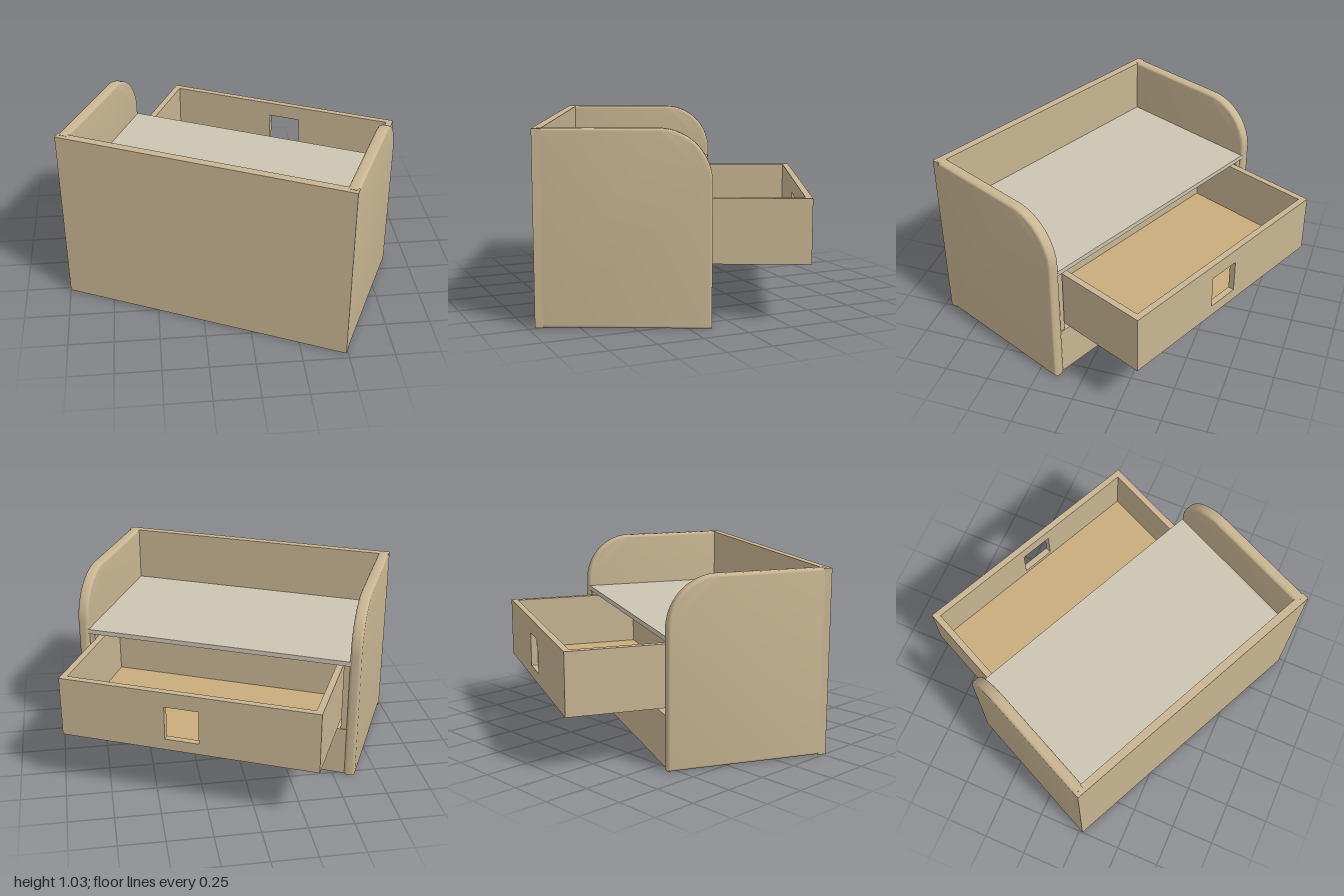
import * as THREE from 'three';
import { toCreasedNormals } from 'three/addons/utils/BufferGeometryUtils.js';

const W = 1.644, D = 0.906, H = 1.03;   // cabinet width, depth, height
const SIDE = 0.062, WALL = 0.045;       // board thicknesses

const wood = new THREE.MeshStandardMaterial({ color: 0xc8b592 });
const shelfWood = new THREE.MeshStandardMaterial({ color: 0xcdc4b2 });
const floorWood = new THREE.MeshStandardMaterial({ color: 0xc9ac7c });

// Box given by its extents: x across, y up, d = distance behind the front face
function board(parent, name, [x0, x1], [y0, y1], [d0, d1], material = wood) {
  const mesh = new THREE.Mesh(new THREE.BoxGeometry(x1 - x0, y1 - y0, d1 - d0), material);
  mesh.position.set((x0 + x1) / 2, (y0 + y1) / 2, -(d0 + d1) / 2);
  mesh.name = name;
  parent.add(mesh);
  return mesh;
}

// Side panel with one large rounded corner and softened edges
function sidePanelGeometry() {
  const b = 0.016, r = 0.26;
  const front = 0.025 + b, back = D - b, bottom = 0.004 + b, top = H - b;
  const s = new THREE.Shape();
  s.moveTo(front, bottom);
  s.lineTo(back, bottom);
  s.lineTo(back, top - r);
  s.absarc(back - r, top - r, r, 0, Math.PI / 2, false);
  s.lineTo(front, top);
  s.closePath();
  const geo = new THREE.ExtrudeGeometry(s, {
    depth: SIDE - 2 * b, bevelEnabled: true, bevelSize: b, bevelThickness: b,
    bevelSegments: 4, curveSegments: 20,
  });
  geo.translate(0, 0, b);
  geo.rotateY(Math.PI / 2);
  return toCreasedNormals(geo, 0.6);
}

function buildCabinet() {
  const g = new THREE.Group();
  g.name = 'cabinet';
  const inner = [SIDE - 0.005, W - SIDE + 0.005];

  board(g, 'frontWall', [0, W], [0.004, H - 0.002], [0, WALL]);
  const panel = sidePanelGeometry();
  ['rightSidePanel', 'leftSidePanel'].forEach((name, i) => {
    const mesh = new THREE.Mesh(panel, wood);
    mesh.position.x = i * (W - SIDE);
    mesh.name = name;
    g.add(mesh);
  });
  board(g, 'topShelf', inner, [0.688, 0.715], [WALL - 0.005, D - 0.004], shelfWood);
  board(g, 'bottomBoard', inner, [0.006, 0.045], [WALL - 0.005, D - 0.012]);
  board(g, 'lowerPanel', inner, [0.006, 0.29], [D - 0.05, D - 0.01]);
  board(g, 'drawerRunner', inner, [0.265, 0.29], [WALL - 0.005, D - 0.045]);
  // Narrow jambs beside the drawer opening
  board(g, 'rightJamb', [SIDE - 0.005, 0.095], [0.285, 0.69], [D - 0.05, D - 0.015]);
  board(g, 'leftJamb', [W - 0.095, W - SIDE + 0.005], [0.285, 0.69], [D - 0.05, D - 0.015]);
  return g;
}

function buildDrawer() {
  const g = new THREE.Group();
  g.name = 'drawer';
  const x0 = 0.105, x1 = 1.539, y0 = 0.32, y1 = 0.664, d0 = 0.6, d1 = 1.419, t = 0.036;

  // Outer face board with a rectangular grip hole
  const s = new THREE.Shape();
  s.moveTo(x0, y0); s.lineTo(x1, y0); s.lineTo(x1, y1); s.lineTo(x0, y1); s.closePath();
  const hole = new THREE.Path();
  hole.moveTo(0.757, 0.385); hole.lineTo(0.757, 0.578);
  hole.lineTo(0.947, 0.578); hole.lineTo(0.947, 0.385); hole.closePath();
  s.holes.push(hole);
  const face = new THREE.Mesh(new THREE.ExtrudeGeometry(s, { depth: t, bevelEnabled: false }), wood);
  face.position.z = -d1;
  face.name = 'drawerFace';
  g.add(face);

  board(g, 'drawerRightSide', [x0, x0 + t], [y0, y1], [d0, d1 - t]);
  board(g, 'drawerLeftSide', [x1 - t, x1], [y0, y1], [d0, d1 - t]);
  board(g, 'drawerInnerEnd', [x0 + t, x1 - t], [y0, y1], [d0, d0 + t]);
  board(g, 'drawerFloor', [x0 + t, x1 - t], [y0, y0 + 0.035], [d0 + t, d1 - t], floorWood);
  return g;
}

export function createModel() {
  const model = new THREE.Group();
  model.name = 'changingCabinet';
  // The whole piece stands turned on the floor
  const turned = new THREE.Group();
  turned.name = 'turnedBody';
  turned.add(buildCabinet(), buildDrawer());
  turned.rotation.y = THREE.MathUtils.degToRad(-25);
  turned.position.set(-1, 0, 0.27);
  model.add(turned);
  return model;
}
